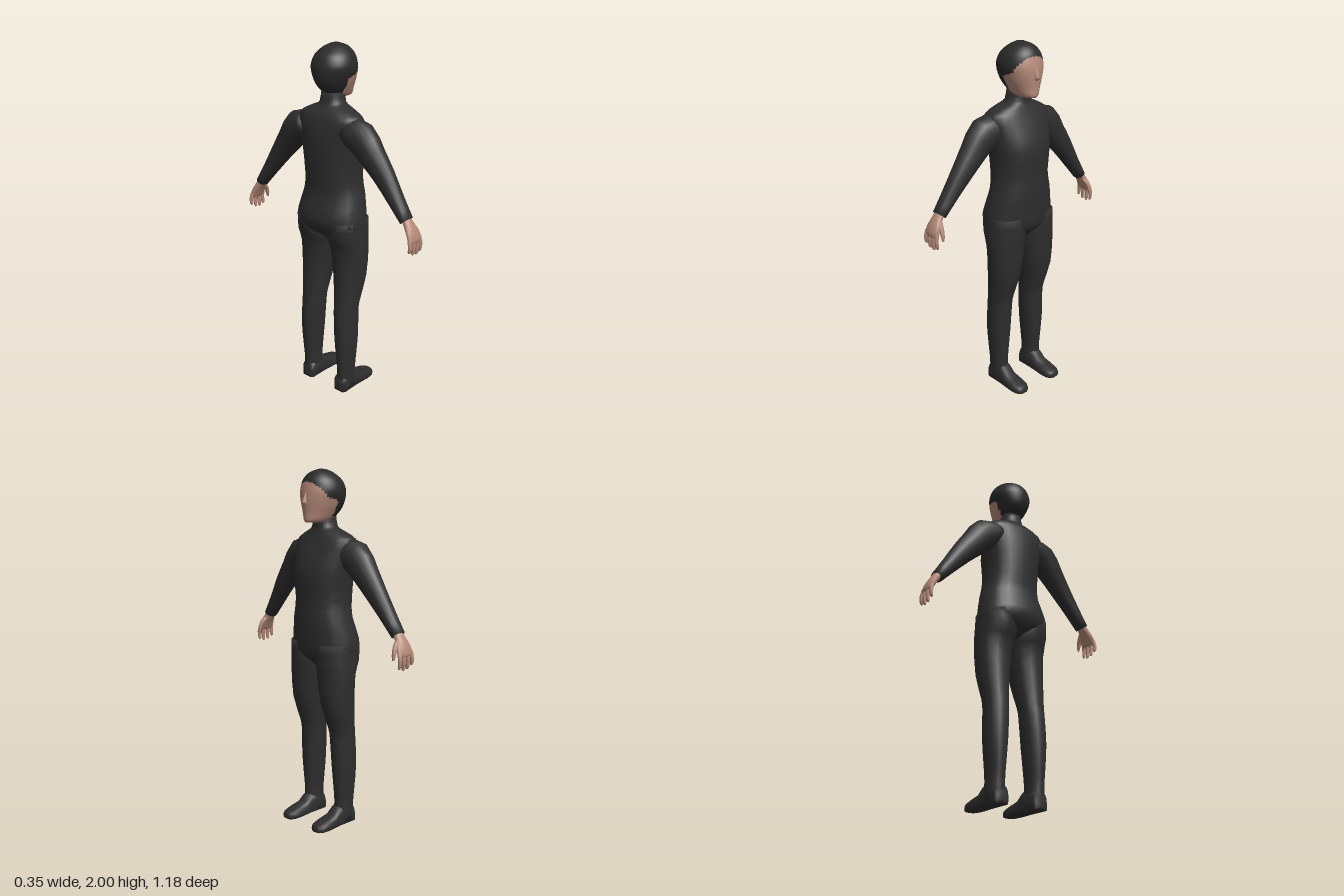
import * as THREE from 'three';

const V = (x, y, z) => new THREE.Vector3(x, y, z);
const material = (name, color) => {
  const m = new THREE.MeshStandardMaterial({ color });
  m.name = name;
  return m;
};

// Insert smooth in-between rows in a list of cross-sections
function refine(rows, steps) {
  const out = [];
  for (let i = 0; i < rows.length - 1; i++) {
    const p = [rows[Math.max(i - 1, 0)], rows[i], rows[i + 1], rows[Math.min(i + 2, rows.length - 1)]];
    for (let k = 0; k < steps; k++) {
      const t = k / steps;
      out.push(p[1].map((b, j) => {
        const a = p[0][j], c = p[2][j], d = p[3][j];
        return b + 0.5 * t * (c - a + t * (2 * a - 5 * b + 4 * c - d + t * (3 * (b - c) + d - a)));
      }));
    }
  }
  out.push(rows[rows.length - 1]);
  return out;
}

// Closed skin through rings [x, y, z, radius along u, radius across u]
function loft(rows, { n = 16, axis = null, u = V(1, 0, 0), power = 1 } = {}) {
  const pos = [], idx = [], m = rows.length;
  const soft = (c) => Math.sign(c) * Math.abs(c) ** power;
  rows.forEach(([x, y, z, ru, rv], i) => {
    const a = rows[Math.max(i - 1, 0)], b = rows[Math.min(i + 1, m - 1)];
    const t = axis || V(0, b[1] - a[1], b[2] - a[2]).normalize();
    const v = t.clone().cross(u);
    for (let j = 0; j < n; j++) {
      const q = (j / n) * Math.PI * 2;
      const p = V(x, y, z).addScaledVector(u, ru * soft(Math.cos(q))).addScaledVector(v, rv * soft(Math.sin(q)));
      pos.push(p.x, Math.max(p.y, 0), p.z);
    }
  });
  for (let i = 0; i < m - 1; i++) {
    for (let j = 0; j < n; j++) {
      const a = i * n + j, b = i * n + ((j + 1) % n);
      idx.push(a, b, b + n, a, b + n, a + n);
    }
  }
  const base = m * n, top = (m - 1) * n;
  pos.push(...rows[0].slice(0, 3), ...rows[m - 1].slice(0, 3));
  for (let j = 0; j < n; j++) {
    const k = (j + 1) % n;
    idx.push(base, k, j, base + 1, top + j, top + k);
  }
  const g = new THREE.BufferGeometry();
  g.setAttribute('position', new THREE.Float32BufferAttribute(pos, 3));
  g.setIndex(idx);
  g.computeVertexNormals();
  return g;
}

// Mirror a geometry to the other side of the body
function mirrored(g) {
  const c = g.clone().scale(1, 1, -1), a = c.index.array;
  for (let i = 0; i < a.length; i += 3) [a[i + 1], a[i + 2]] = [a[i + 2], a[i + 1]];
  c.computeVertexNormals();
  return c;
}

// Upright rows [y, back, front, inner z, outer z] to rings
const upright = (rows) => rows.map(([y, b, f, i, o]) => [(b + f) / 2, y, (i + o) / 2, (f - b) / 2, (o - i) / 2]);

export function createModel() {
  const group = new THREE.Group();
  const suit = material('suit', 0x2e2e2e);
  const hair = material('hair', 0x2b2a2a);
  const skin = material('skin', 0xb58a79);
  const up = V(0, 1, 0);
  const add = (name, geo, mat) => {
    const mesh = new THREE.Mesh(geo, mat);
    mesh.name = name;
    group.add(mesh);
  };
  const pair = (name, geo, mat) => {
    add(name + 'Left', mirrored(geo), mat);
    add(name + 'Right', geo, mat);
  };

  // Torso with hips, shoulders and high collar
  const torso = [
    [0.91, -0.03, 0.03, 0.04], [0.95, -0.09, 0.07, 0.13], [1.0, -0.15, 0.11, 0.207], [1.08, -0.175, 0.122, 0.207],
    [1.2, -0.14, 0.13, 0.18], [1.3, -0.147, 0.127, 0.163], [1.44, -0.155, 0.135, 0.175], [1.54, -0.152, 0.105, 0.19],
    [1.61, -0.14, 0.075, 0.205], [1.645, -0.125, 0.06, 0.175], [1.675, -0.1, 0.05, 0.11],
    [1.695, -0.085, 0.047, 0.07], [1.75, -0.078, 0.047, 0.06],
  ].map(([y, b, f, h]) => [y, b, f, -h, h]);
  add('torso', loft(refine(upright(torso), 2), { n: 24, axis: up, power: 0.88 }), suit);

  // Legs
  const leg = upright([
    [0.015, -0.11, 0.02, 0.078, 0.175], [0.12, -0.11, 0.01, 0.083, 0.173], [0.2, -0.117, 0.015, 0.08, 0.177],
    [0.35, -0.125, 0.025, 0.066, 0.189], [0.5, -0.12, 0.03, 0.056, 0.187], [0.57, -0.113, 0.04, 0.05, 0.19],
    [0.72, -0.105, 0.09, 0.03, 0.205], [0.88, -0.107, 0.1, 0.004, 0.215], [0.96, -0.14, 0.108, -0.005, 0.214],
    [1.06, -0.15, 0.11, 0.005, 0.208],
  ]);
  pair('leg', loft(refine(leg, 2), { n: 18, axis: up, power: 0.92 }), suit);

  // Shoes: rows [x, top, half width]
  const shoe = [
    [-0.112, 0.06, 0.036], [-0.1, 0.1, 0.046], [-0.04, 0.13, 0.047], [0.005, 0.115, 0.047], [0.045, 0.075, 0.048],
    [0.1, 0.058, 0.052], [0.145, 0.045, 0.048], [0.165, 0.037, 0.036], [0.173, 0.03, 0.02],
  ].map(([x, t, w]) => [x, t * 0.35, 0.125, w, t * 0.65]);
  pair('shoe', loft(shoe, { n: 16, axis: V(1, 0, 0), u: V(0, 0, 1), power: 0.8 }), suit);

  // Arms
  const arm = [
    [-0.045, 1.56, 0.13, 0.08, 0.07], [-0.045, 1.535, 0.215, 0.078, 0.093], [-0.044, 1.45, 0.292, 0.066, 0.077],
    [-0.042, 1.36, 0.367, 0.055, 0.062], [-0.047, 1.25, 0.45, 0.046, 0.045], [-0.05, 1.155, 0.522, 0.042, 0.032],
  ];
  pair('arm', loft(refine(arm, 2), { n: 16 }), suit);

  // Hands with four curled fingers and a thumb
  const palm = [
    [-0.05, 1.175, 0.51, 0.03, 0.022], [-0.05, 1.14, 0.535, 0.035, 0.022], [-0.048, 1.1, 0.56, 0.05, 0.02],
    [-0.047, 1.065, 0.574, 0.054, 0.016], [-0.047, 1.05, 0.577, 0.048, 0.01],
  ];
  pair('palm', loft(refine(palm, 2), { n: 14 }), skin);
  [[-0.091, 1.002], [-0.062, 0.985], [-0.034, 0.98], [-0.007, 0.99]].forEach(([x, tip], i) => {
    const spread = (i - 1.5) * 0.003;
    const finger = [
      [x, 1.075, 0.573, 0.012, 0.011], [x + spread, 1.035, 0.581, 0.012, 0.01],
      [x + spread, tip + 0.01, 0.578, 0.01, 0.009], [x + spread, tip, 0.574, 0.005, 0.005],
    ];
    pair('finger' + (i + 1), loft(finger, { n: 8 }), skin);
  });
  const thumb = [
    [-0.025, 1.13, 0.54, 0.018, 0.014], [0.002, 1.095, 0.549, 0.015, 0.013],
    [0.014, 1.06, 0.552, 0.011, 0.011], [0.017, 1.035, 0.552, 0.006, 0.006],
  ];
  pair('thumb', loft(thumb, { n: 8 }), skin);

  // Head: one skin, split into hair and face along the hairline
  const head = [
    [1.717, 0.01, 0.112, 0.03], [1.73, -0.05, 0.121, 0.056], [1.77, -0.1, 0.122, 0.08], [1.81, -0.125, 0.125, 0.1],
    [1.86, -0.134, 0.125, 0.118], [1.9, -0.13, 0.12, 0.119], [1.945, -0.108, 0.108, 0.1],
    [1.982, -0.06, 0.075, 0.06], [2.0, -0.02, 0.025, 0.016],
  ].map(([y, b, f, h]) => [y, b, f, -h, h]);
  const headGeo = loft(refine(upright(head), 5), { n: 48, axis: up });
  const hairline = (y) => {
    if (y < 1.83) return -0.015;
    if (y < 1.85) return -0.015 + (y - 1.83) * 3.4;
    return 0.053 + (y - 1.85) * 0.72;
  };
  const p = headGeo.attributes.position, ids = headGeo.index.array, face = [], scalp = [];
  for (let i = 0; i < ids.length; i += 3) {
    const tri = [ids[i], ids[i + 1], ids[i + 2]];
    const mid = (get) => tri.reduce((s, k) => s + get(k), 0) / 3;
    const x = mid((k) => p.getX(k)), y = mid((k) => p.getY(k));
    (x > hairline(y) && y < 1.94 ? face : scalp).push(...tri);
  }
  headGeo.setIndex([...face, ...scalp]);
  headGeo.addGroup(0, face.length, 0);
  headGeo.addGroup(face.length, scalp.length, 1);
  add('head', headGeo, [skin, hair]);

  // Nose
  const nose = upright([
    [1.805, 0.1, 0.122, -0.012, 0.012], [1.817, 0.1, 0.14, -0.015, 0.015],
    [1.828, 0.1, 0.144, -0.013, 0.013], [1.88, 0.1, 0.122, -0.006, 0.006],
  ]);
  add('nose', loft(nose, { n: 10, axis: up }), skin);

  return group;
}
